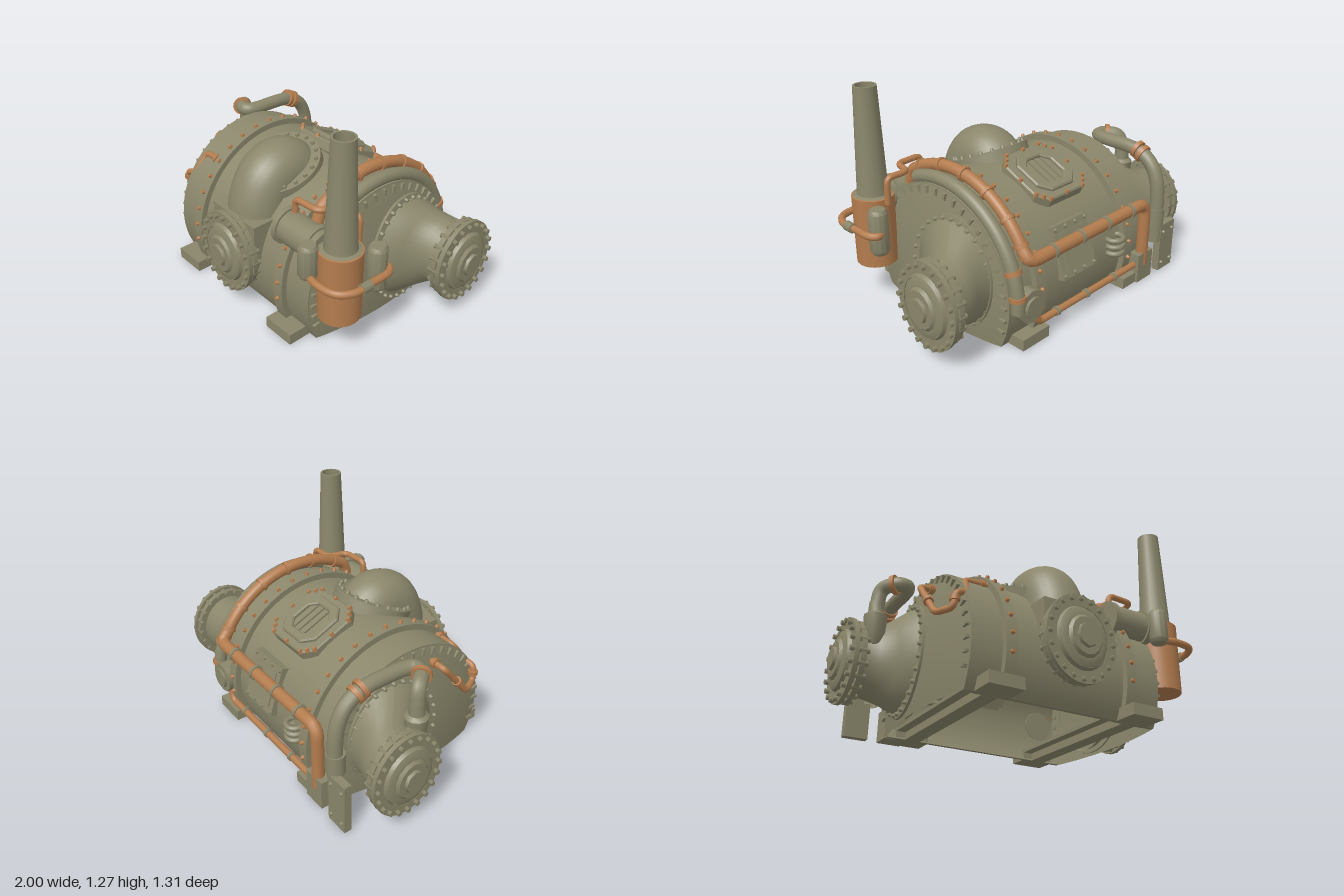
import * as THREE from 'three';
import { mergeGeometries, toCreasedNormals } from 'three/addons/utils/BufferGeometryUtils.js';

const V = (x, y, z) => new THREE.Vector3(x, y, z);
const UP = V(0, 1, 0), CY = 0.25, CZ = -0.04, R = 0.53;
const olive = new THREE.MeshStandardMaterial({ color: 0x8a866b, side: THREE.DoubleSide });
olive.name = 'olive steel';
const copper = new THREE.MeshStandardMaterial({ color: 0xb37c4e, side: THREE.DoubleSide });
copper.name = 'copper';

function add(parent, name, geo, mat = olive, pos = [0, 0, 0], rot = [0, 0, 0]) {
  const m = new THREE.Mesh(geo, mat);
  m.name = name;
  m.position.set(...pos);
  m.rotation.set(...rot);
  parent.add(m);
  return m;
}
// copies of one geometry, each as [position, direction of its y axis]
function scatter(parent, name, geo, mat, list) {
  const copies = list.map(([p, d]) => geo.clone().applyMatrix4(new THREE.Matrix4().compose(
    p, new THREE.Quaternion().setFromUnitVectors(UP, d.clone().normalize()), V(1, 1, 1))));
  return add(parent, name, mergeGeometries(copies), mat);
}
const cyl = (r, h, n = 24, r2 = r) => new THREE.CylinderGeometry(r2, r, h, n);
const box = (w, h, d) => new THREE.BoxGeometry(w, h, d);
const rivet = cyl(0.015, 0.024, 8, 0.009);
const lathe = (pts, n = 32) =>
  toCreasedNormals(new THREE.LatheGeometry(pts.map(p => new THREE.Vector2(...p)), n), 0.6);
// point and normal on the barrel; angle runs from the top towards the front
const normal = a => V(0, Math.cos(a), Math.sin(a));
const along = a => V(0, -Math.sin(a), Math.cos(a));
const onBarrel = (x, r, a) => normal(a).multiplyScalar(r).add(V(x, CY, CZ));
const range = (n, f) => Array.from({ length: n }, (_, i) => f(i, i / (n - 1)));
// x of the dished end wall
const dish = (y, z) => 0.585 + 0.07 * (1 - ((y - CY) ** 2 + (z - CZ) ** 2) / (R * R));

// pipe with straight runs and rounded corners
function pipe(parent, name, pts, r, mat, bend = 0.04) {
  const p = pts.map(a => V(...a)), path = new THREE.CurvePath();
  let last = p[0];
  for (let i = 1; i < p.length - 1; i++) {
    const k = q => p[i].clone().lerp(q, Math.min(0.45, bend / p[i].distanceTo(q)));
    const a = k(p[i - 1]), b = k(p[i + 1]);
    path.add(new THREE.LineCurve3(last, a));
    path.add(new THREE.QuadraticBezierCurve3(a, p[i], b));
    last = b;
  }
  path.add(new THREE.LineCurve3(last, p[p.length - 1]));
  return add(parent, name, new THREE.TubeGeometry(path, p.length * 14, r, 12), mat);
}
function smoothPipe(parent, name, pts, r, mat, seg = 48, sides = 14) {
  return add(parent, name, new THREE.TubeGeometry(new THREE.CatmullRomCurve3(pts), seg, r, sides), mat);
}

// ring-shaped slice of the barrel, cut off at the ground
function barrelSlice(rOut, rIn, x, width) {
  const s = new THREE.Shape(), a = Math.asin(-CY / rOut), b = Math.asin(-CY / rIn);
  s.absarc(-CZ, CY, rOut, a, Math.PI - a, false);
  s.absarc(-CZ, CY, rIn, Math.PI - b, b, true);
  const g = new THREE.ExtrudeGeometry(s, { depth: width, bevelEnabled: false, curveSegments: 56 });
  return toCreasedNormals(g.rotateY(Math.PI / 2).translate(x - width / 2, 0, 0), 0.5);
}

// dished end wall, flattened at the ground
function endWall(s) {
  const g = new THREE.RingGeometry(0.002, R - 0.005, 64, 12), p = g.attributes.position;
  for (let i = 0; i < p.count; i++) {
    const y = Math.max(0, CY + p.getY(i)), z = CZ - s * p.getX(i);
    p.setXYZ(i, s * dish(y, z), y, z);
  }
  g.computeVertexNormals();
  return g;
}

// slightly oval bolted blind flange, facing +z, 0.13 deep
function flange(parent, name, pos, rotY) {
  const g = new THREE.Group();
  g.name = name;
  add(g, 'flangePlates', lathe([[0, 0], [0.225, 0], [0.225, 0.03], [0.2, 0.03], [0.2, 0.045], [0.235, 0.045],
    [0.235, 0.07], [0.17, 0.07], [0.16, 0.09]], 36).rotateX(Math.PI / 2));
  add(g, 'flangeDome', lathe([[0.16, 0.088], [0.13, 0.1], [0.115, 0.1], [0.1, 0.115], [0, 0.115]], 14).rotateX(Math.PI / 2));
  add(g, 'flangeHub', cyl(0.072, 0.03, 8, 0.062).rotateX(Math.PI / 2), olive, [0, 0, 0.116]);
  scatter(g, 'flangeBolts', cyl(0.015, 0.11, 6), olive, range(20, i => {
    const a = i * Math.PI / 10;
    return [V(0.213 * Math.cos(a), 0.213 * Math.sin(a), 0.038), V(0, 0, 1)];
  }));
  g.position.set(...pos);
  g.rotation.y = rotY;
  g.scale.set(0.93, 1.05, 1);
  parent.add(g);
}

// flared side branch blending from the end wall to a round neck
function sideBranch(parent, s) {
  const rows = [[0.59, -0.19, 0.28, 0.315], [0.65, -0.205, 0.265, 0.29], [0.72, -0.27, 0.216, 0.24],
    [0.79, -0.335, 0.177, 0.2], [0.89, -0.35, 0.168, 0.19]];
  const g = new THREE.CylinderGeometry(1, 1, 1, 40, 4, true), p = g.attributes.position;
  for (let i = 0; i < p.count; i++) {
    const [x, cz, rz, ry] = rows[Math.round((p.getY(i) + 0.5) * 4)];
    p.setXYZ(i, s * x, 0.345 + ry * p.getZ(i), cz + s * rz * p.getX(i));
  }
  g.computeVertexNormals();
  add(parent, 'sideBranch', g);
  // mounting ring following the dish of the wall
  const ring = lathe([[0.86, -0.01], [1, -0.01], [1, 0.015], [0.86, 0.015]], 40).rotateZ(-s * Math.PI / 2);
  const q = ring.attributes.position;
  for (let i = 0; i < q.count; i++) {
    const y = 0.345 + 0.327 * q.getY(i), z = -0.19 + 0.285 * q.getZ(i);
    q.setXYZ(i, q.getX(i) + s * dish(y, z), y, z);
  }
  add(parent, 'branchRing', toCreasedNormals(ring, 0.6));
  scatter(parent, 'branchRivets', rivet, olive, range(28, i => {
    const a = i * Math.PI / 14, y = 0.345 + 0.308 * Math.cos(a), z = -0.19 + 0.268 * Math.sin(a);
    return [V(s * (dish(y, z) + 0.02), y, z), V(s, 0, 0)];
  }));
  flange(parent, 'sideFlange', [s * 0.87, 0.34, -0.348], s * Math.PI / 2);
}

function octagon(w, h, c) {
  return [[-w + c, -h], [w - c, -h], [w, -h + c], [w, h - c], [w - c, h], [-w + c, h], [-w, h - c], [-w, -h + c]]
    .map(p => new THREE.Vector2(...p));
}
function frame(w, h, t, depth) {
  const s = new THREE.Shape(octagon(w, h, 0.06));
  s.holes.push(new THREE.Path(octagon(w - t, h - t, 0.05).reverse()));
  return new THREE.ExtrudeGeometry(s, { depth, bevelEnabled: true, bevelSize: 0.008, bevelThickness: 0.008, bevelSegments: 1 });
}

export function createModel() {
  const model = new THREE.Group();
  model.name = 'boilerEngine';

  // barrel, end walls, bands and feet
  add(model, 'barrel', barrelSlice(R, R - 0.02, 0, 1.17));
  for (const s of [-1, 1]) {
    add(model, 'endWall', endWall(s));
    add(model, 'band', barrelSlice(R + 0.035, R - 0.01, s * 0.375, 0.07));
    scatter(model, 'bandRivets', rivet, copper, range(20, (i, t) => {
      const a = -1.85 + 3.5 * t;
      return [onBarrel(s * 0.375, R + 0.04, a), normal(a)];
    }));
    scatter(model, 'endStuds', box(0.02, 0.04, 0.015), olive, range(27, (i, t) => {
      const a = -1.85 + 3.7 * t;
      return [onBarrel(s * 0.597, R - 0.03, a), normal(a)];
    }));
    add(model, 'crossBeamPlate', box(0.2, 0.02, 1.12), olive, [s * 0.43, 0.055, -0.03]);
    add(model, 'crossBeamWeb', box(0.09, 0.045, 1.12), olive, [s * 0.43, 0.0225, -0.03]);
    add(model, 'frontFoot', box(0.2, 0.065, 0.17), olive, [s * 0.43, 0.0325, 0.485]);
    add(model, 'rearFoot', box(0.2, 0.065, 0.13), olive, [s * 0.43, 0.0325, -0.555]);
    sideBranch(model, s);
  }

  // front intake elbow
  smoothPipe(model, 'intakeElbow', [V(0, 0.56, 0.05), V(0, 0.69, 0.1), V(0, 0.742, 0.18), V(0, 0.715, 0.27),
    V(0, 0.6, 0.335), V(0, 0.4, 0.36)], 0.172, olive, 48, 28);
  const collar = new THREE.Group();
  collar.name = 'intakeCollar';
  add(collar, 'collarPlate', cyl(0.235, 0.08, 36));
  scatter(collar, 'collarRivets', rivet, olive, range(20, i =>
    [V(0.212 * Math.cos(i * Math.PI / 10), 0.045, 0.212 * Math.sin(i * Math.PI / 10)), UP]));
  collar.position.copy(onBarrel(0, R - 0.01, 0.4));
  collar.rotation.x = 0.4;
  model.add(collar);
  add(model, 'intakeHousing', box(0.37, 0.23, 0.15), olive, [0, 0.445, 0.45]);
  add(model, 'intakeNeck', cyl(0.185, 0.2, 32).rotateX(Math.PI / 2), olive, [0, 0.345, 0.44]);
  flange(model, 'frontFlange', [0, 0.34, 0.52], 0);

  // grilled roof hatch
  const hatch = new THREE.Group();
  hatch.name = 'roofHatch';
  add(hatch, 'hatchFrame', frame(0.19, 0.185, 0.045, 0.05), olive, [0, 0, -0.03]);
  add(hatch, 'hatchInnerFrame', frame(0.14, 0.14, 0.035, 0.05), olive, [0, 0, -0.01]);
  for (const x of [-0.072, -0.024, 0.024, 0.072]) add(hatch, 'hatchBar', box(0.036, 0.2, 0.03), olive, [x, 0, 0.015]);
  const rim = octagon(0.19, 0.185, 0.06);
  scatter(hatch, 'hatchRivets', rivet, copper, rim.flatMap((p, i) =>
    [p, p.clone().lerp(rim[(i + 1) % 8], 0.5)]).map(p => [V(p.x, p.y, 0.03), V(0, 0, 1)]));
  hatch.position.copy(onBarrel(0, R + 0.005, -0.42));
  hatch.rotation.x = -Math.PI / 2 - 0.42;
  model.add(hatch);

  // rear access panel
  const panel = new THREE.Group();
  panel.name = 'rearPanel';
  add(panel, 'panelPlate', box(0.27, 0.05, 0.3));
  add(panel, 'panelInset', box(0.2, 0.065, 0.21));
  scatter(panel, 'panelRivets', rivet, olive, range(4, i => i).flatMap(i =>
    [-0.132, 0.132].map(z => [V(-0.12 + i * 0.08, 0.027, z), UP])));
  panel.position.copy(onBarrel(0.07, R - 0.002, -1.25));
  panel.rotation.x = -1.25;
  model.add(panel);

  // copper main with clamps: over the barrel, along the back, then down
  const arc = range(22, (i, t) => onBarrel(0.475, 0.6, 0.6 - 1.72 * t));
  smoothPipe(model, 'mainPipeArch', [V(0.475, 0.66, 0.33), ...arc], 0.034, copper, 80);
  pipe(model, 'mainPipeRear', [arc[20].toArray(), [0.475, 0.5, -0.605], [-0.52, 0.5, -0.605], [-0.52, 0.1, -0.605]],
    0.036, copper, 0.07);
  scatter(model, 'archClamps', cyl(0.042, 0.02, 14), copper, [0.45, 0.15, -0.15, -0.45, -0.75, -1.0].map(a =>
    [onBarrel(0.475, 0.6, a), along(a)]));
  scatter(model, 'rearClamps', cyl(0.043, 0.02, 14), olive, [0.3, 0.08, -0.14, -0.36].map(x =>
    [V(x, 0.5, -0.605), V(1, 0, 0)]));
  add(model, 'pipeBox', box(0.14, 0.18, 0.12), olive, [-0.52, 0.09, -0.575]);

  // companion steel pipe and rear valve
  smoothPipe(model, 'companionPipe', range(22, (i, t) => onBarrel(0.545, 0.555, 0.4 - 2.0 * t)), 0.038, olive, 70);
  scatter(model, 'companionRings', cyl(0.047, 0.025, 14), copper, [-1.2, -1.45].map(a =>
    [onBarrel(0.545, 0.555, a), along(a)]));
  add(model, 'rearValve', cyl(0.095, 0.09, 10).rotateX(Math.PI / 2), olive, [0.47, 0.25, -0.585]);
  add(model, 'rearValveCap', cyl(0.06, 0.03, 10).rotateX(Math.PI / 2), olive, [0.47, 0.25, -0.63]);
  pipe(model, 'drainPipe', [[0.43, 0.2, -0.6], [0.4, 0.11, -0.6], [-0.52, 0.11, -0.6]], 0.02, copper);
  scatter(model, 'drainClamps', cyl(0.027, 0.02, 12), olive, [0.25, 0, -0.25].map(x => [V(x, 0.11, -0.6), V(1, 0, 0)]));
  for (let i = 0; i < 3; i++)
    add(model, 'rearCoil', new THREE.TorusGeometry(0.05, 0.016, 8, 20), olive, [-0.27, 0.27 + i * 0.042, -0.58], [Math.PI / 2, 0, 0]);

  // left steam pipe with funnel, wide rear bend and lower junction box
  add(model, 'steamFunnel', lathe([[0, 0.385], [0.03, 0.4], [0.058, 0.47], [0.066, 0.575], [0.045, 0.592], [0.042, 0.66]], 12),
    olive, [-0.82, 0, -0.2]);
  pipe(model, 'steamPipe', [[-0.82, 0.62, -0.2], [-0.81, 0.75, -0.19], [-0.74, 0.76, -0.1], [-0.66, 0.76, -0.11],
    [-0.66, 0.76, -0.43], [-0.66, 0.69, -0.54], [-0.66, 0.56, -0.595], [-0.66, 0.2, -0.595]], 0.042, olive, 0.13);
  scatter(model, 'steamRings', cyl(0.056, 0.026, 16), copper, [[V(-0.755, 0.755, -0.12), V(0.6, 0.1, 0.7)],
    [V(-0.66, 0.753, -0.43), V(0, -0.4, -1)], [V(-0.66, 0.735, -0.465), V(0, -0.5, -1)]]);
  add(model, 'steamSleeve', cyl(0.052, 0.12, 14), olive, [-0.66, 0.36, -0.59]);
  add(model, 'junctionBox', box(0.14, 0.31, 0.045), olive, [-0.73, 0.155, -0.618]);
  scatter(model, 'junctionBolts', rivet, olive, [0.05, 0.26].flatMap(y => [-0.775, -0.685].map(x =>
    [V(x, y, -0.642), V(0, 0, -1)])));

  // thin copper line on the left front
  pipe(model, 'leftThinPipe', [[-0.4, 0.65, 0.31], [-0.54, 0.65, 0.31], [-0.57, 0.53, 0.39], [-0.63, 0.52, 0.4],
    [-0.64, 0.43, 0.39], [-0.69, 0.43, 0.29], [-0.7, 0.66, 0.1], [-0.58, 0.67, 0.09]], 0.018, copper, 0.03);
  scatter(model, 'leftPipeJoints', cyl(0.028, 0.025, 10), copper, [[V(-0.44, 0.65, 0.31), V(1, 0, 0)],
    [V(-0.635, 0.48, 0.395), UP], [V(-0.695, 0.53, 0.21), V(0, 0.79, -0.61)], [V(-0.63, 0.667, 0.094), V(1, 0, 0)]]);

  // chimney in its copper cup
  add(model, 'chimney', lathe([[0.112, 0.648], [0.09, 0.655], [0.087, 0.68], [0.064, 1.27], [0.052, 1.27],
    [0.06, 0.95], [0, 0.95]], 20), olive, [0.705, 0, 0.38]);
  add(model, 'chimneyCup', lathe([[0, 0.235], [0.118, 0.235], [0.12, 0.645], [0.108, 0.647]], 24),
    copper, [0.705, 0, 0.38]);

  // canisters and the copper loop joining them
  const can = h => lathe([[0, 0], [0.042, 0], [0.055, 0.02], [0.055, h - 0.02], [0.042, h], [0, h]], 12);
  add(model, 'rearCanister', can(0.265), olive, [0.8, 0.37, 0.21]);
  add(model, 'frontCanister', can(0.2), olive, [0.605, 0.48, 0.51]);
  smoothPipe(model, 'canisterLoop', [V(0.61, 0.5, 0.52), V(0.7, 0.5, 0.54), V(0.82, 0.5, 0.52), V(0.875, 0.5, 0.44),
    V(0.875, 0.5, 0.32), V(0.87, 0.5, 0.2), V(0.84, 0.5, 0.165), V(0.8, 0.5, 0.18)], 0.021, copper, 60, 10);
  add(model, 'loopJoint', cyl(0.028, 0.06, 10), olive, [0.878, 0.5, 0.37], [Math.PI / 2, 0, 0]);

  // horizontal drum feeding the chimney
  add(model, 'drum', cyl(0.095, 0.28, 24).rotateZ(Math.PI / 2), olive, [0.47, 0.6, 0.4]);
  for (const x of [0.325, 0.56]) add(model, 'drumRing', cyl(0.108, 0.03, 24).rotateZ(Math.PI / 2), olive, [x, 0.6, 0.4]);
  pipe(model, 'drumPipe', [[0.36, 0.65, 0.38], [0.36, 0.775, 0.38], [0.53, 0.775, 0.37], [0.56, 0.775, 0.245],
    [0.7, 0.775, 0.245], [0.7, 0.62, 0.25]], 0.018, copper);

  return model;
}
